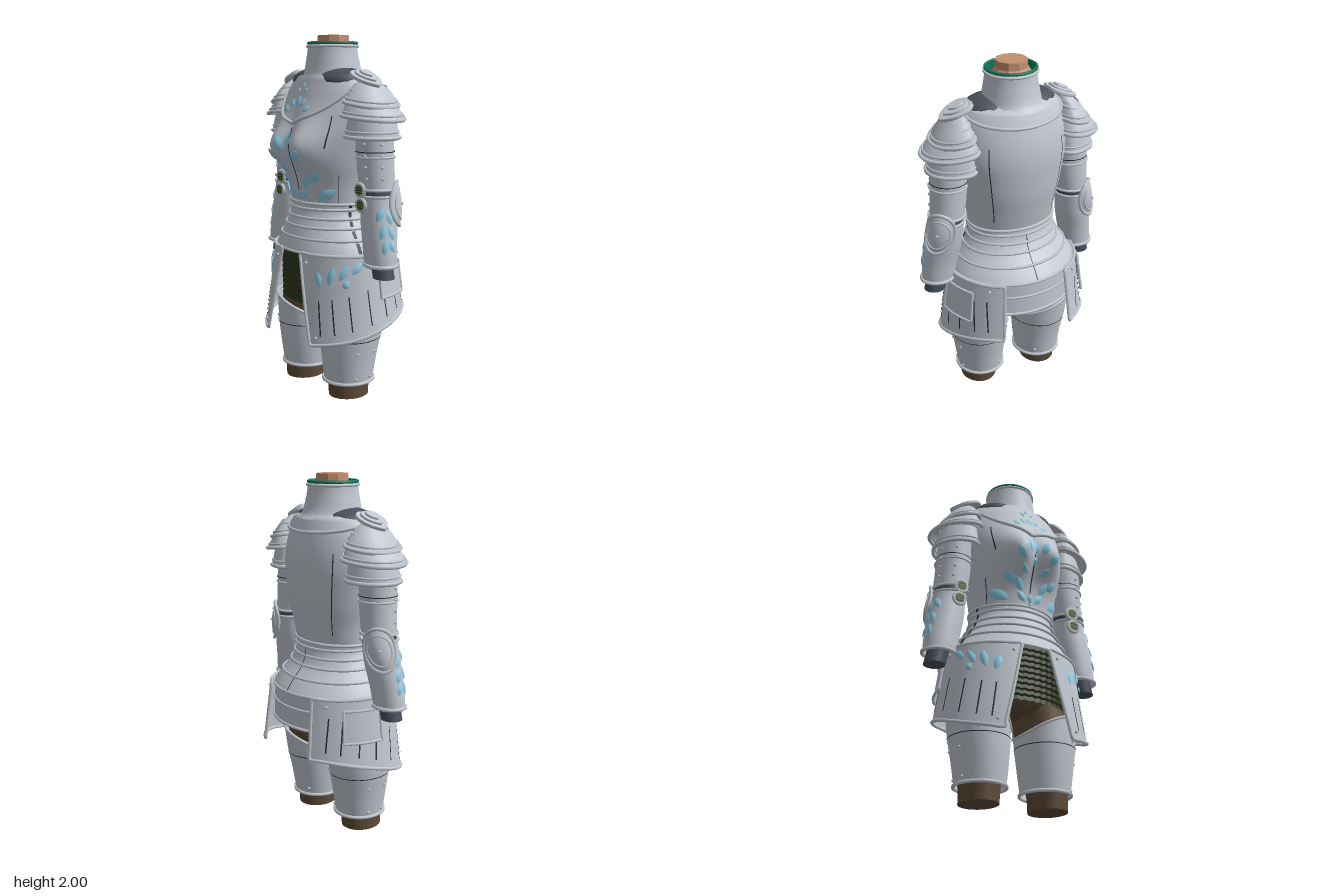
import * as THREE from 'three';
import { mergeVertices } from 'three/addons/utils/BufferGeometryUtils.js';

const PI = Math.PI;
const V = (x, y, z) => new THREE.Vector3(x, y, z);
const lerp = THREE.MathUtils.lerp;
const material = (name, color, extra = {}) => new THREE.MeshStandardMaterial({ name, color, side: THREE.DoubleSide, ...extra });

// Surface through cross-sections [y, rx, zFront, zBack, cx, cz]; t = 0 is front, t = PI/2 is +x
function sections(rows) {
  rows.sort((a, b) => a[0] - b[0]);
  const at = y => {
    let i = 0;
    while (i < rows.length - 2 && y > rows[i + 1][0]) i++;
    const p = rows[i], q = rows[i + 1], o = rows[i - 1], r = rows[i + 2];
    const w = (y - p[0]) / (q[0] - p[0]);
    return [1, 2, 3, 4, 5].map(k => {
      const b = p[k] || 0, c = q[k] || 0;
      const a = o ? o[k] || 0 : 2 * b - c, d = r ? r[k] || 0 : 2 * c - b;
      return 0.5 * (2 * b + (c - a) * w + (2 * a - 5 * b + 4 * c - d) * w * w + (3 * b - a - 3 * c + d) * w ** 3);
    });
  };
  const f = (t, y, off = 0) => {
    const [rx, zf, zb, cx, cz] = at(y), c = Math.cos(t);
    return V(cx + (rx + off) * Math.sin(t), y, cz + ((c > 0 ? zf : zb) + off) * c);
  };
  f.at = at;
  return f;
}

// Grid of points P(u, v): u runs round to +x, v runs upwards
function grid(P, nu, nv) {
  const pos = [], idx = [];
  for (let j = 0; j <= nv; j++) for (let i = 0; i <= nu; i++) pos.push(...P(i / nu, j / nv).toArray());
  for (let j = 0; j < nv; j++) for (let i = 0; i < nu; i++) {
    const a = j * (nu + 1) + i, b = a + nu + 1;
    idx.push(a, a + 1, b + 1, a, b + 1, b);
  }
  let g = new THREE.BufferGeometry();
  g.setAttribute('position', new THREE.Float32BufferAttribute(pos, 3));
  g.setIndex(idx);
  g = mergeVertices(g, 1e-5);
  g.computeVertexNormals();
  return g;
}
const wrap = (f, y0, y1, nv = 12, off = 0, t0 = -PI, t1 = PI) =>
  grid((u, v) => f(lerp(t0, t1, u), lerp(y0, y1, v), off), 48, nv);
const tube = (pts, r, closed = true) =>
  new THREE.TubeGeometry(new THREE.CatmullRomCurve3(pts, closed), pts.length * 2, r, 6, closed);
const loop = (fn, n = 36) => Array.from({ length: n }, (_, i) => fn(-PI + i / n * 2 * PI));
const rim = (f, y, r = 0.009, off = 0.003) => tube(loop(t => f(t, y, off)), r);
// Slightly domed leaf inlay at (a, b) of a map m(a, b, height) onto a surface, leaning by an angle
const leaf = (m, a, b, len, wid, ang) => grid((u, v) => {
  const s = Math.sin(PI * v), l = (v - 0.5) * len, w = (u - 0.5) * wid * s ** 0.8;
  return m(a + w * Math.cos(ang) + l * Math.sin(ang), b - w * Math.sin(ang) + l * Math.cos(ang), 0.006 * s * Math.sin(PI * u));
}, 6, 10);
const groove = (f, t, y0, y1, w = 0.014, off = 0.005, lean = 0) =>
  grid((u, v) => f(t + (u - 0.5) * w / 0.3 + lean * v, lerp(y0, y1, v), off), 1, 10);
const rivet = p => new THREE.SphereGeometry(0.009, 8, 6).translate(p.x, p.y, p.z);

function mirror(side) {
  const copy = new THREE.Group();
  copy.name = side.name.replace('left', 'right');
  side.children.forEach(m => {
    const g = m.geometry.index ? m.geometry.clone() : mergeVertices(m.geometry);
    g.scale(-1, 1, 1);
    g.index.array.reverse();
    const n = new THREE.Mesh(g, m.material);
    n.name = m.name;
    copy.add(n);
  });
  return copy;
}

export function createModel() {
  const steel = material('steel', 0xc2c8d1), slate = material('slate cloth', 0x4a515d), blue = material('blue inlay', 0x90cfe8);
  const teal = material('teal lining', 0x147a5e), skin = material('skin', 0xc49070, { flatShading: true });
  const brown = material('brown cloth', 0x5f4b38), mail = material('green mail', 0x2e361f);
  const olive = material('olive knit', 0x6d7b2c), dark = material('dark groove', 0x2b2f36);
  const model = new THREE.Group(), left = new THREE.Group();
  left.name = 'left side';
  const put = (parent, name, mat, ...geos) => geos.forEach(g => {
    const m = new THREE.Mesh(g, mat);
    m.name = name;
    parent.add(m);
  });

  // Cuirass with two bust swells
  const body = sections([[1.08, 0.248, 0.21, 0.19], [1.2, 0.262, 0.222, 0.215], [1.3, 0.283, 0.235, 0.235], [1.4, 0.3, 0.245, 0.245],
    [1.5, 0.315, 0.24, 0.25], [1.6, 0.31, 0.22, 0.24], [1.7, 0.285, 0.18, 0.215], [1.77, 0.24, 0.15, 0.185], [1.8, 0.16, 0.13, 0.15]]);
  const torso = (t, y, off) => {
    const p = body(t, y, off);
    if (Math.cos(t) > 0) p.z += Math.cos(t) * 0.12 * Math.exp(-((Math.abs(p.x) - 0.115) ** 2) / 0.0125 - (y - 1.4) ** 2 / 0.018);
    return p;
  };
  put(model, 'cuirass', steel, grid((u, v) => torso(lerp(-PI, PI, u), lerp(1.08, 1.8, v)), 96, 40), rim(torso, 1.09));
  put(model, 'cuirass groove', dark, groove(torso, 0, 1.1, 1.5, 0.008));
  for (const s of [-1, 1]) put(model, 'cuirass groove', dark, groove(torso, s * 0.78, 1.4, 1.57, 0.006),
    groove(torso, s * 2.4, 1.15, 1.6, 0.006), groove(torso, s * 1.0, 1.1, 1.25, 0.006));

  // Bib: pointed in front, short behind
  const bibY = t => { const c = Math.cos(t), s = Math.abs(Math.sin(t)); return c > 0 ? 1.53 + 0.1 * s + 0.12 * s ** 3 : 1.75 + 0.05 * c; };
  put(model, 'bib', steel, grid((u, v) => { const t = lerp(-PI, PI, u); return torso(t, lerp(bibY(t), 1.785, v), 0.014); }, 72, 14),
    tube(loop(t => torso(t, bibY(t), 0.014), 60), 0.01));

  // Leaf inlays on the chest: [x, y, length, width, lean]
  const onChest = off => (x, y, h) => torso(Math.asin(THREE.MathUtils.clamp(x / body.at(y)[0], -1, 1)), y, off + h);
  const inlay = (off, list) => list.forEach(([x, y, l, w, a]) => (x ? [-1, 1] : [1]).forEach(s =>
    put(model, 'chest leaf', blue, leaf(onChest(off), s * x, y, l, w, s * a))));
  inlay(0.009, [[0, 1.44, 0.11, 0.04, 0], [0.05, 1.425, 0.1, 0.042, 0.35], [0.1, 1.36, 0.085, 0.048, 0.75], [0, 1.35, 0.05, 0.022, 0],
    [0.06, 1.29, 0.065, 0.034, 0.9], [0.13, 1.24, 0.085, 0.044, 0.9], [0.073, 1.21, 0.085, 0.045, 0.6],
    [0.165, 1.145, 0.11, 0.056, 1.0], [0.05, 1.142, 0.075, 0.04, 0.7], [0, 1.14, 0.055, 0.032, 0], [0, 1.1, 0.02, 0.015, 0]]);
  inlay(0.021, [[0, 1.645, 0.065, 0.038, 0], [0.04, 1.637, 0.05, 0.028, 0.6], [0.08, 1.607, 0.055, 0.03, 1.0],
    [0, 1.73, 0.035, 0.022, 0], [0.028, 1.705, 0.032, 0.02, 0.6]]);

  // Neck, gorget and lining
  const gorget = sections([[1.955, 0.135, 0.135, 0.135, 0, -0.01], [1.9, 0.14, 0.142, 0.142, 0, -0.01],
    [1.83, 0.152, 0.153, 0.158, 0, -0.01], [1.79, 0.16, 0.162, 0.175, 0, -0.01], [1.765, 0.175, 0.175, 0.2, 0, -0.01]]);
  put(model, 'gorget', steel, wrap(gorget, 1.765, 1.95, 16), rim(gorget, 1.94, 0.008));
  put(model, 'collar lining', teal, rim(gorget, 1.957, 0.009, -0.002), wrap(gorget, 1.84, 1.955, 6, -0.007));
  put(model, 'neck', skin, new THREE.LatheGeometry([[0.125, 1.86], [0.122, 1.91], [0.088, 1.96], [0.086, 2], [0, 2]]
    .map(p => new THREE.Vector2(...p)), 10).translate(0, 0, -0.015));

  // Waist lames, each flaring over the next
  const hips = sections([[1.1, 0.25, 0.215, 0.195], [1.05, 0.236, 0.21, 0.19], [1, 0.25, 0.22, 0.2], [0.95, 0.275, 0.235, 0.225],
    [0.9, 0.312, 0.25, 0.27], [0.85, 0.345, 0.265, 0.31], [0.82, 0.36, 0.272, 0.33]]);
  [1.1, 1.06, 1.01, 0.96, 0.9, 0.825].forEach((y, i, a) => {
    if (!i) return;
    put(model, 'waist lame', steel, grid((u, v) => hips(lerp(-PI, PI, u), lerp(y, a[i - 1], v), 0.01 * (1 - v)), 48, 5), rim(hips, y, 0.008, 0.01));
    for (const s of [-1, 1]) put(model, 'waist strap', dark, groove(hips, s * 1.3, y + 0.012, a[i - 1] - 0.01, 0.022, 0.013));
  });
  put(model, 'waist seam', dark, groove(hips, PI, 0.83, 1.06, 0.005, 0.013));

  // Back skirt plate, mail apron and pelvis
  const seat = sections([[0.83, 0.36, 0.27, 0.33], [0.62, 0.375, 0.28, 0.335]]);
  const seatEdge = (y, off) => Array.from({ length: 20 }, (_, i) => seat(2.1 + i / 19 * (2 * PI - 4.2), y, off));
  put(model, 'back skirt plate', steel, wrap(seat, 0.63, 0.83, 4, 0, 2.1, 2 * PI - 2.1),
    tube(seatEdge(0.63, 0), 0.009, false), tube(seatEdge(0.74, 0.003), 0.007, false));
  const apron = sections([[0.84, 0.32, 0.25, 0.28], [0.52, 0.33, 0.235, 0.28]]);
  put(model, 'mail apron', mail, grid((u, v) => apron(lerp(-1.2, 1.2, u), lerp(0.52, 0.84, v) + 0.006 * Math.abs(Math.sin(u * 60)),
    0.01 * (1 - (v * 10) % 1)), 120, 60));
  const pelvis = sections([[0.86, 0.3, 0.22, 0.27], [0.7, 0.32, 0.21, 0.27], [0.58, 0.3, 0.19, 0.22], [0.5, 0.17, 0.13, 0.14], [0.485, 0.001, 0.001, 0.001]]);
  put(model, 'pelvis', brown, wrap(pelvis, 0.485, 0.86, 16));

  // Leg and thigh plate
  const leg = sections([[0, 0.104, 0.118, 0.118, 0.205, 0.035], [0.1, 0.11, 0.125, 0.125, 0.203, 0.035],
    [0.35, 0.155, 0.16, 0.165, 0.2, 0.025], [0.62, 0.15, 0.17, 0.18, 0.17, 0]]);
  put(left, 'leg', brown, wrap(leg, 0, 0.62, 14),
    new THREE.CircleGeometry(1, 32).scale(0.104, 0.118, 1).rotateX(PI / 2).translate(0.205, 0, 0.035));
  const thigh = sections([[0.085, 0.134, 0.138, 0.14, 0.195, 0.03], [0.22, 0.15, 0.158, 0.16, 0.197, 0.028],
    [0.35, 0.165, 0.175, 0.18, 0.202, 0.022], [0.56, 0.174, 0.19, 0.195, 0.208, 0.01]]);
  const thighTop = t => 0.47 + 0.06 * Math.sin(t) + 0.015 * Math.cos(2 * t);
  put(left, 'thigh plate', steel, grid((u, v) => { const t = lerp(-PI, PI, u); return thigh(t, lerp(0.085, thighTop(t), v)); }, 48, 12),
    rim(thigh, 0.09, 0.01), tube(loop(t => thigh(t, thighTop(t))), 0.009));
  put(left, 'thigh band', dark, wrap(thigh, 0.337, 0.342, 1, 0.004));
  put(left, 'rivet', steel, ...[[1.2, 0.12], [1.2, 0.27], [1.9, 0.12], [1.9, 0.27], [0.5, 0.37], [-2.6, 0.13]].map(([t, y]) => rivet(thigh(t, y))));

  // Skirt plate sweeping from the front round to the back
  const skirt = sections([[0.83, 0.378, 0.288, 0.355], [0.33, 0.448, 0.342, 0.418]]);
  const hem = t => 0.335 + 0.16 * THREE.MathUtils.smoothstep(t, 0.3, 2.7);
  const plate = (u, v, off = 0) => {
    const t = lerp(0.225 + 0.24 * (1 - v), PI - 0.52, u);
    return skirt(t, lerp(hem(t), 0.825, v), off);
  };
  const frame = (P, n = 14) => [[0, 0, 1, 0], [1, 0, 1, 1], [1, 1, 0, 1], [0, 1, 0, 0]].flatMap(([a, b, c, d]) =>
    Array.from({ length: n }, (_, i) => P(lerp(a, c, i / n), lerp(b, d, i / n))));
  put(left, 'skirt plate', steel, grid(plate, 36, 10), tube(frame(plate), 0.01));
  const patch = (u, v) => skirt(lerp(1.6, 2.15, u), lerp(0.595, 0.77, v), 0.018);
  put(left, 'skirt side patch', steel, grid(patch, 12, 3), tube(frame(patch, 8), 0.008));
  put(left, 'skirt groove', dark, ...[0.62, 0.82, 1.08, 1.4, 1.7, 1.95, 2.2, 2.4].map(t =>
    groove(skirt, t, hem(t) + 0.05, hem(t) + 0.24, 0.006, 0.006, -0.04)));
  const onSkirt = (a, y, h) => skirt(a / 0.35, y, 0.007 + h);
  put(left, 'skirt leaf', blue, ...[[0.2, 0.7, 0.09, -0.2], [0.27, 0.725, 0.11, 0.25], [0.34, 0.74, 0.1, 0.6], [0.42, 0.765, 0.09, 0.85], [0.35, 0.68, 0.05, 0.8]]
    .map(([a, y, l, g]) => leaf(onSkirt, a, y, l, 0.042, g)));
  put(left, 'rivet', steel, ...[[0.35, 0.78], [1.8, 0.68], [1.5, 0.79], [2.4, 0.79], [0.55, 0.38]].map(([t, y]) => rivet(skirt(t, y, 0.006))));

  // Shoulder cloth tucked between gorget and pauldron
  put(left, 'shoulder cloth', slate, new THREE.SphereGeometry(1, 24, 16).scale(0.155, 0.075, 0.145).translate(0.105, 1.752, 0.005));

  // Pauldron lames: [yTop, yBottom, topX, topZ, bottomX, bottomZ, tilt]; narrow towards the body
  const px = 0.315;
  [[1.785, 1.705, 0.015, 0.015, 0.095, 0.115, 0.3], [1.735, 1.645, 0.08, 0.1, 0.142, 0.165, 0.2],
    [1.66, 1.575, 0.12, 0.135, 0.196, 0.178, 0.12], [1.58, 1.465, 0.14, 0.13, 0.172, 0.152, 0.03]].forEach(([y1, y0, ax, az, bx, bz, tilt]) => {
    const P = (t, v) => {
      const s = Math.sin(t), k = 0.6 * v + 0.4 * Math.sin(v * PI / 2), dx = lerp(ax, bx, k) * (s > 0 ? s : 0.5 * s);
      return V(px + dx, lerp(y1, y0, v) - tilt * dx, -0.01 + lerp(az, bz, k) * Math.cos(t));
    };
    put(left, 'pauldron lame', steel, grid((u, v) => P(lerp(-PI, PI, u), 1 - v), 40, 8),
      tube(loop(t => P(t, 1)), 0.011), tube(loop(t => P(t, 0.75)), 0.006));
  });
  // Spade-shaped crest in three steps
  [[1.15, 1.765], [0.8, 1.778], [0.45, 1.79]].forEach(([s, y]) => {
    const spade = new THREE.Shape().moveTo(0.09 * s, 0).quadraticCurveTo(0.045 * s, 0.075 * s, -0.03 * s, 0.065 * s)
      .quadraticCurveTo(-0.08 * s, 0.05 * s, -0.07 * s, 0).quadraticCurveTo(-0.08 * s, -0.05 * s, -0.03 * s, -0.065 * s)
      .quadraticCurveTo(0.045 * s, -0.075 * s, 0.09 * s, 0);
    put(left, 'pauldron crest', steel, new THREE.ExtrudeGeometry(spade, { depth: 0.01, bevelSize: 0.005, bevelThickness: 0.005, bevelSegments: 2 })
      .rotateX(-PI / 2).rotateZ(-0.4).translate(0.305, y, 0.005));
  });

  // Arm plates over a cloth sleeve
  const arm = sections([[0.72, 0.06, 0.06, 0.06, 0.47, 0.015], [0.79, 0.09, 0.078, 0.078, 0.448, 0.018], [0.9, 0.097, 0.085, 0.085, 0.432, 0.012],
    [1.02, 0.101, 0.093, 0.093, 0.411, 0], [1.15, 0.095, 0.095, 0.095, 0.392, -0.008], [1.3, 0.1, 0.1, 0.1, 0.375, -0.005], [1.55, 0.1, 0.105, 0.105, 0.362, 0]]);
  const cuff = sections([[0.72, 0.06, 0.056, 0.056, 0.472, 0.015], [0.83, 0.062, 0.058, 0.058, 0.446, 0.016]]);
  put(left, 'sleeve', slate, wrap(arm, 1.05, 1.28, 6, -0.008), wrap(cuff, 0.72, 0.83, 3),
    new THREE.CircleGeometry(0.06, 24).rotateX(PI / 2).translate(0.472, 0.722, 0.015));
  put(left, 'upper arm plate', steel, wrap(arm, 1.19, 1.53, 10), rim(arm, 1.19, 0.008), rim(arm, 1.36, 0.006));
  put(left, 'upper arm band', dark, wrap(arm, 1.386, 1.391, 1, 0.004));
  put(left, 'forearm plate', steel, wrap(arm, 0.79, 1.155, 14, 0.002), rim(arm, 0.79, 0.011), rim(arm, 1.155, 0.008));
  put(left, 'rivet', steel, ...[1.25, 1.31, 1.37, 1.43].flatMap(y => [0.3, 1.2].map(t => rivet(arm(t, y)))));
  const onArm = (a, y, h) => arm(a / 0.1, y, 0.007 + h);
  put(left, 'forearm leaf', blue, ...[[0.09, 1.07, 0.085, 0.5], [0.14, 1.05, 0.075, -0.3], [0.1, 0.98, 0.085, 0.3], [0.15, 0.97, 0.08, -0.4],
    [0.11, 0.9, 0.085, 0.2], [0.155, 0.9, 0.07, -0.5]].map(([a, y, l, g]) => leaf(onArm, a, y, l, 0.038, g)));

  // Elbow guard and knit roundels
  const guard = (r, t) => arm(2.35 + r * 0.85 * Math.cos(t), 1.115 + r * 0.115 * Math.sin(t), 0.012 + 0.018 * (1 - r * r));
  put(left, 'elbow guard', steel, grid((u, v) => guard(1 - v, u * 2 * PI), 32, 6), tube(loop(t => guard(1, t), 28), 0.01),
    tube(loop(t => guard(0.7, t), 28), 0.005), rivet(guard(0, 0)));
  [1.187, 1.108].forEach(y => {
    const p = arm(-0.25, y, 0.008);
    put(left, 'elbow roundel ring', steel, new THREE.TorusGeometry(0.034, 0.01, 8, 24).translate(p.x, p.y, p.z));
    put(left, 'elbow roundel', olive, new THREE.CylinderGeometry(0.03, 0.03, 0.016, 20).rotateX(PI / 2).translate(p.x, p.y, p.z));
    put(left, 'elbow roundel weave', dark, ...[-0.014, 0, 0.014].map(d => new THREE.BoxGeometry(0.045, 0.006, 0.004).translate(p.x, p.y + d, p.z + 0.008)));
  });

  model.add(left, mirror(left));
  return model;
}
